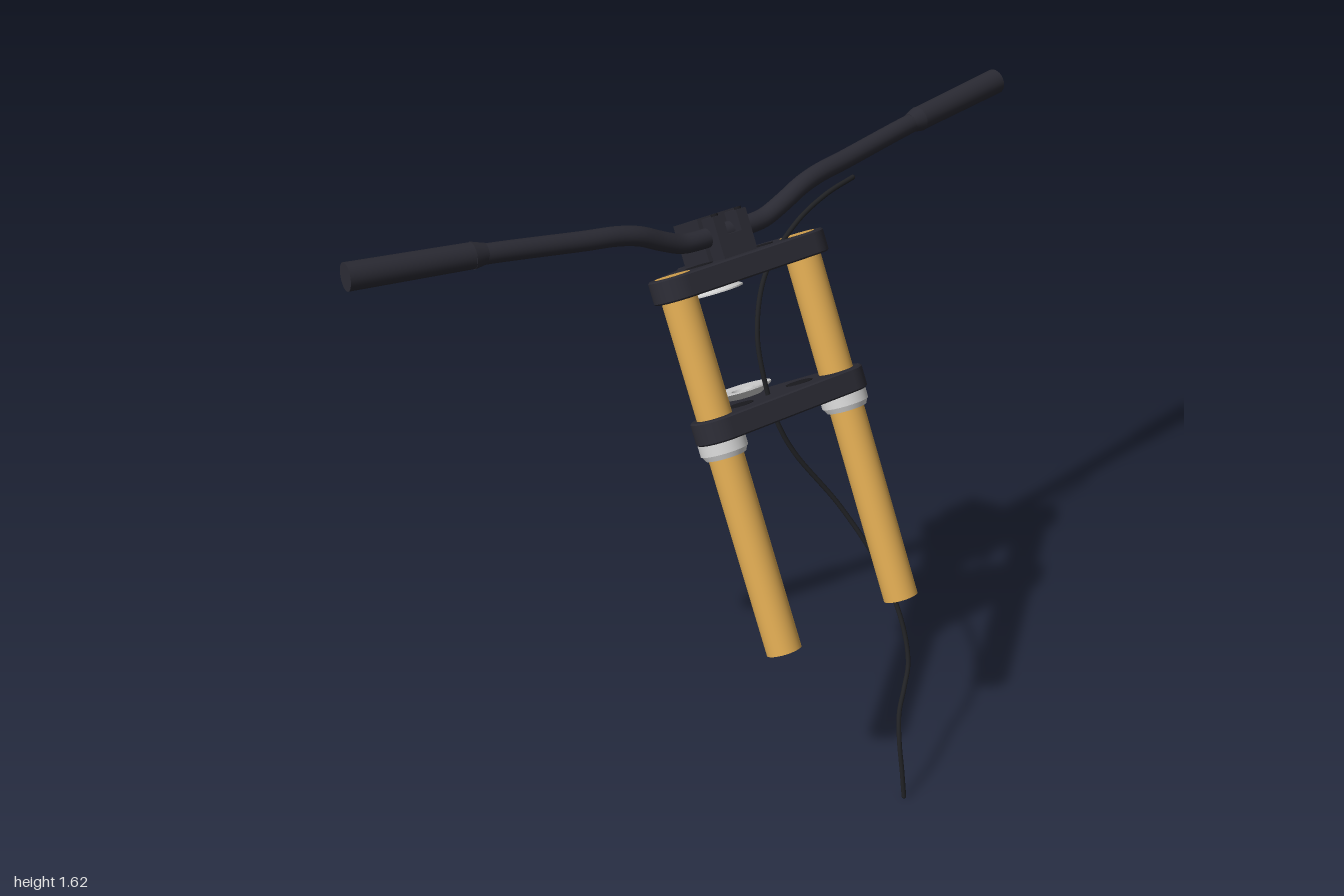
import * as THREE from 'three';

const V = (x, y, z) => new THREE.Vector3(x, y, z);

export function createModel() {
  const mat = (name, color, side = THREE.FrontSide) => {
    const m = new THREE.MeshStandardMaterial({ color, side });
    m.name = name;
    return m;
  };
  const black = mat('black metal', 0x2a2a33);
  const recess = mat('dark recess', 0x1b1b20);
  const gold = mat('gold tube', 0xd9a650);
  const silver = mat('silver', 0xd0d0d0, THREE.DoubleSide);
  const rubber = mat('cable black', 0x202124);

  const model = new THREE.Group();
  model.name = 'forkAndHandlebar';
  const add = (parent, name, geo, m, x = 0, y = 0, z = 0) => {
    const mesh = new THREE.Mesh(geo, m);
    mesh.name = name;
    mesh.position.set(x, y, z);
    parent.add(mesh);
    return mesh;
  };
  // Cylinder between two points
  const rod = (name, a, b, ra, rb, m) => {
    const d = b.clone().sub(a);
    const mesh = add(model, name, new THREE.CylinderGeometry(rb, ra, d.length(), 28), m);
    mesh.position.copy(a).addScaledVector(d, 0.5);
    mesh.quaternion.setFromUnitVectors(V(0, 1, 0), d.normalize());
  };

  // Fork: local y runs up the raked legs, origin at their feet
  const fork = new THREE.Group();
  fork.name = 'fork';
  fork.position.set(0.23, 0.51, 0);
  fork.rotation.z = 0.469;
  model.add(fork);

  for (const s of [-1, 1]) {
    add(fork, 'leg', new THREE.CylinderGeometry(0.046, 0.046, 0.993, 40), gold, 0, 0.4965, s * 0.195);
    add(fork, 'collar', new THREE.CylinderGeometry(0.062, 0.062, 0.03, 40), silver, 0, 0.553, s * 0.195);
    add(fork, 'collarLip', new THREE.CylinderGeometry(0.06, 0.053, 0.014, 40), silver, 0, 0.531, s * 0.195);
  }

  // Clamp plate outline: rounded ends, tapering to a narrow split tip
  const outline = new THREE.Shape();
  const R = 0.066;
  outline.moveTo(0.07, -0.195);
  outline.lineTo(0.07, 0.195);
  outline.absarc(0.004, 0.195, R, 0, Math.PI * 0.8, false);
  outline.lineTo(-0.17, 0.062);
  outline.lineTo(-0.215, 0.05);
  outline.lineTo(-0.215, 0.008);
  outline.lineTo(-0.18, 0.008);
  outline.lineTo(-0.18, -0.008);
  outline.lineTo(-0.215, -0.008);
  outline.lineTo(-0.215, -0.05);
  outline.lineTo(-0.17, -0.062);
  outline.absarc(0.004, -0.195, R, Math.PI * 1.2, Math.PI * 2, false);

  const clamp = (name, top) => {
    const g = new THREE.Group();
    g.name = name;
    g.position.y = top;
    fork.add(g);
    const geo = new THREE.ExtrudeGeometry(outline, {
      depth: 0.052, bevelEnabled: true, bevelSize: 0.004, bevelThickness: 0.004,
      bevelOffset: -0.004, bevelSegments: 1, curveSegments: 20,
    });
    geo.rotateX(Math.PI / 2);
    add(g, 'clampPlate', geo, black, 0, -0.004, 0);
    for (const s of [-1, 1]) {
      // round pockets on both faces
      for (const y of [0, -0.06])
        add(g, 'pocket', new THREE.CylinderGeometry(0.036, 0.036, 0.003, 28), recess, -0.03, y, s * 0.095);
      // pinch bolts on the tip
      for (const y of [-0.019, -0.042]) {
        const bolt = add(g, 'pinchBolt', new THREE.CylinderGeometry(0.006, 0.006, 0.008, 12), silver, -0.2, y, s * 0.053);
        bolt.rotation.x = Math.PI / 2;
      }
    }
  };
  clamp('upperClamp', 0.992);
  clamp('lowerClamp', 0.627);

  // Flared bearing cups on the facing sides of the clamps
  const cup = (name, y, flip) => {
    const profile = [[0.03, 0], [0.045, 0], [0.077, 0.02], [0.077, 0.024], [0.032, 0.019], [0.03, 0]];
    const geo = new THREE.LatheGeometry(profile.map(([r, h]) => new THREE.Vector2(r, h)), 40).toNonIndexed();
    geo.computeVertexNormals();
    const c = add(fork, name, geo, silver, -0.15, y, 0);
    if (flip) c.rotation.x = Math.PI;
    add(fork, 'cupBore', new THREE.CylinderGeometry(0.031, 0.031, 0.012, 28), recess, -0.15, y + (flip ? -0.005 : 0.005), 0);
  };
  cup('upperCup', 0.932, true);
  cup('lowerCup', 0.626, false);

  // Stem: wedge block behind, two-piece bar clamp in front
  const side = new THREE.Shape();
  [[-0.15, 0.99], [-0.15, 1.1], [-0.03, 1.105], [-0.03, 0.99]].forEach(([x, y], i) =>
    i ? side.lineTo(x, y) : side.moveTo(x, y));
  add(fork, 'stemBlock', new THREE.ExtrudeGeometry(side, { depth: 0.126, bevelEnabled: false }), black, 0, 0, -0.063);
  add(fork, 'barClampBase', new THREE.BoxGeometry(0.075, 0.06, 0.1), black, -0.012, 1.018, 0);
  for (const s of [-1, 1]) {
    add(fork, 'barClampCap', new THREE.BoxGeometry(0.075, 0.1, 0.03), black, -0.012, 1.05, s * 0.036);
    add(fork, 'capBolt', new THREE.CylinderGeometry(0.009, 0.009, 0.008, 12), recess, 0.012, 1.102, s * 0.036);
  }

  // Handlebar: swept and raised tube with grips
  const half = [V(-0.27, 1.438, 0.09), V(-0.27, 1.443, 0.13), V(-0.271, 1.468, 0.19),
    V(-0.273, 1.497, 0.25), V(-0.279, 1.512, 0.31), V(-0.288, 1.522, 0.4), V(-0.317, 1.552, 0.66), V(-0.325, 1.557, 0.74)];
  const mirrored = half.map(p => V(p.x, p.y, -p.z)).reverse();
  const barPath = new THREE.CatmullRomCurve3([...mirrored, V(-0.27, 1.437, 0), ...half]);
  add(model, 'handlebar', new THREE.TubeGeometry(barPath, 120, 0.025, 20), black);
  for (const s of [-1, 1]) {
    const at = t => V(-0.317 - 0.039 * t, 1.553 + 0.026 * t, s * (0.655 + 0.342 * t));
    rod('gripTaper', at(0), at(0.1), 0.025, 0.033, black);
    rod('grip', at(0.1), at(1), 0.032, 0.034, black);
  }

  // Hanging cable
  const cablePath = new THREE.CatmullRomCurve3([
    V(-0.245, 1.49, -0.4), V(-0.23, 1.475, -0.3), V(-0.205, 1.435, -0.18), V(-0.175, 1.34, -0.06),
    V(-0.125, 1.22, 0.005), V(-0.085, 1.1, 0.014), V(-0.055, 0.98, -0.005), V(-0.03, 0.89, -0.04),
    V(0.04, 0.72, -0.14), V(0.13, 0.56, -0.2), V(0.21, 0.42, -0.216), V(0.26, 0.31, -0.203),
    V(0.29, 0.26, -0.165), V(0.335, 0.225, -0.11), V(0.37, 0.16, -0.084), V(0.387, 0.09, -0.08), V(0.402, 0.003, -0.078)]);
  add(model, 'cable', new THREE.TubeGeometry(cablePath, 140, 0.0065, 10), rubber);
  for (const t of [0, 1])
    add(model, 'cableEnd', new THREE.SphereGeometry(0.0065, 10, 8), rubber).position.copy(cablePath.getPoint(t));

  return model;
}
